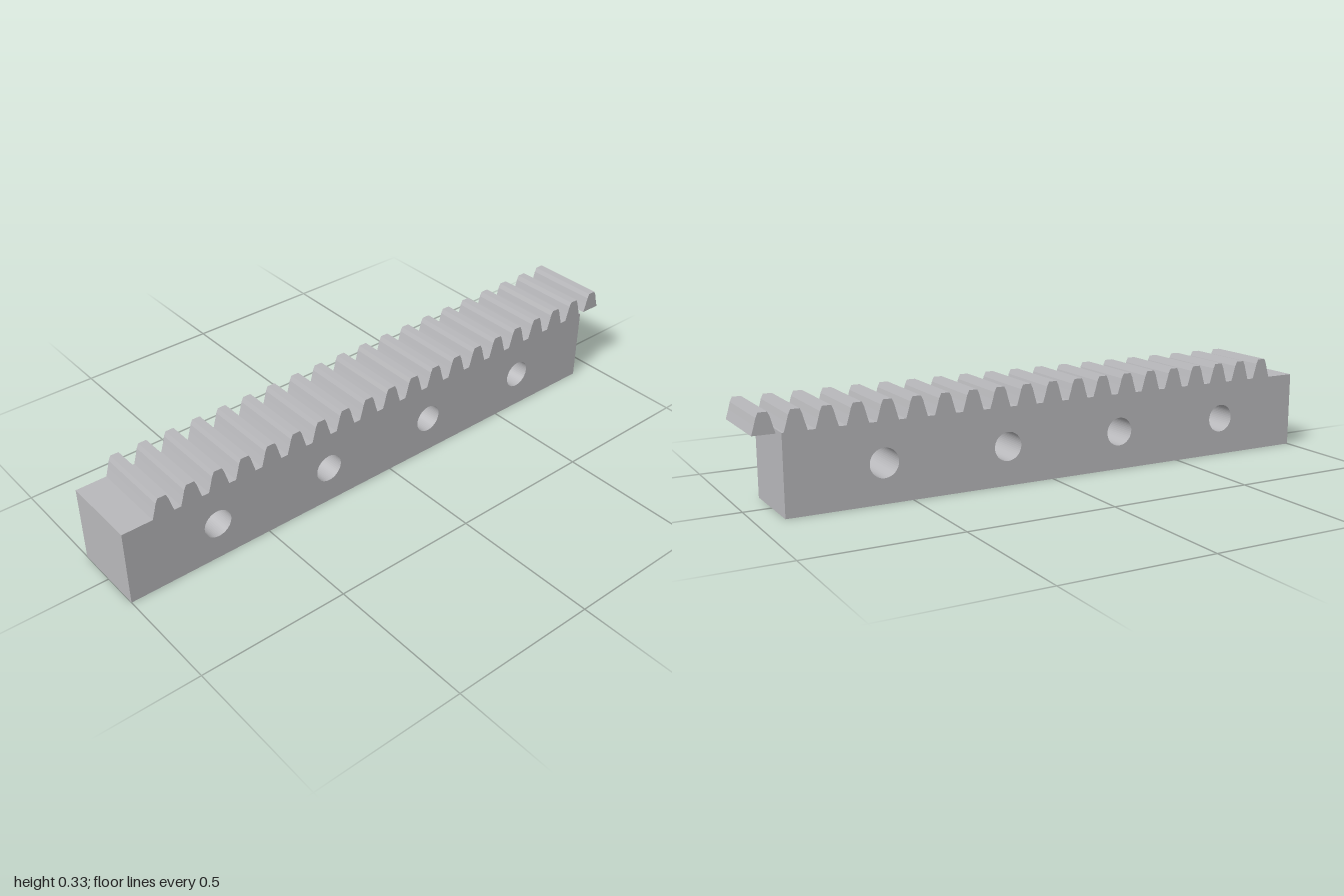
import * as THREE from 'three';

const DEPTH = 0.262, BODY_TOP = 0.26;
const LEFT = -1, RIGHT = 0.91;
const TOOTH_COUNT = 20, FIRST_TOOTH = -0.861, PITCH = 0.096;

// Extrude a profile across the full width, centred on z = 0
function extrude(shape) {
  const geometry = new THREE.ExtrudeGeometry(shape, { depth: DEPTH, bevelEnabled: false, curveSegments: 24 });
  return geometry.translate(0, 0, -DEPTH / 2);
}

export function createModel() {
  const group = new THREE.Group();
  group.name = 'gearRack';
  const steel = new THREE.MeshStandardMaterial({ color: 0xb8b8bb });
  steel.name = 'steel grey';

  // Bar with four through holes
  const bar = new THREE.Shape([
    new THREE.Vector2(LEFT, 0), new THREE.Vector2(RIGHT, 0),
    new THREE.Vector2(RIGHT, BODY_TOP), new THREE.Vector2(LEFT, BODY_TOP),
  ]);
  for (let i = 0; i < 4; i++) {
    const hole = new THREE.Path();
    hole.absarc(-0.684 + i * 0.426, 0.13, 0.048, 0, Math.PI * 2, true);
    bar.holes.push(hole);
  }
  const barMesh = new THREE.Mesh(extrude(bar), steel);
  barMesh.name = 'bar';
  group.add(barMesh);

  // Teeth; the last one overhangs the end of the bar
  const half = [[0.036, 0], [0.027, 0.03], [0.021, 0.052], [0.014, 0.067]];
  const outline = [
    ...half.map(([x, y]) => new THREE.Vector2(x, y)),
    ...half.slice().reverse().map(([x, y]) => new THREE.Vector2(-x, y)),
  ];
  const toothGeometry = extrude(new THREE.Shape(outline));
  const teeth = new THREE.Group();
  teeth.name = 'teeth';
  for (let i = 0; i < TOOTH_COUNT; i++) {
    const tooth = new THREE.Mesh(toothGeometry, steel);
    tooth.name = `tooth${i + 1}`;
    tooth.position.set(FIRST_TOOTH + i * PITCH, BODY_TOP, 0);
    teeth.add(tooth);
  }
  group.add(teeth);
  return group;
}
